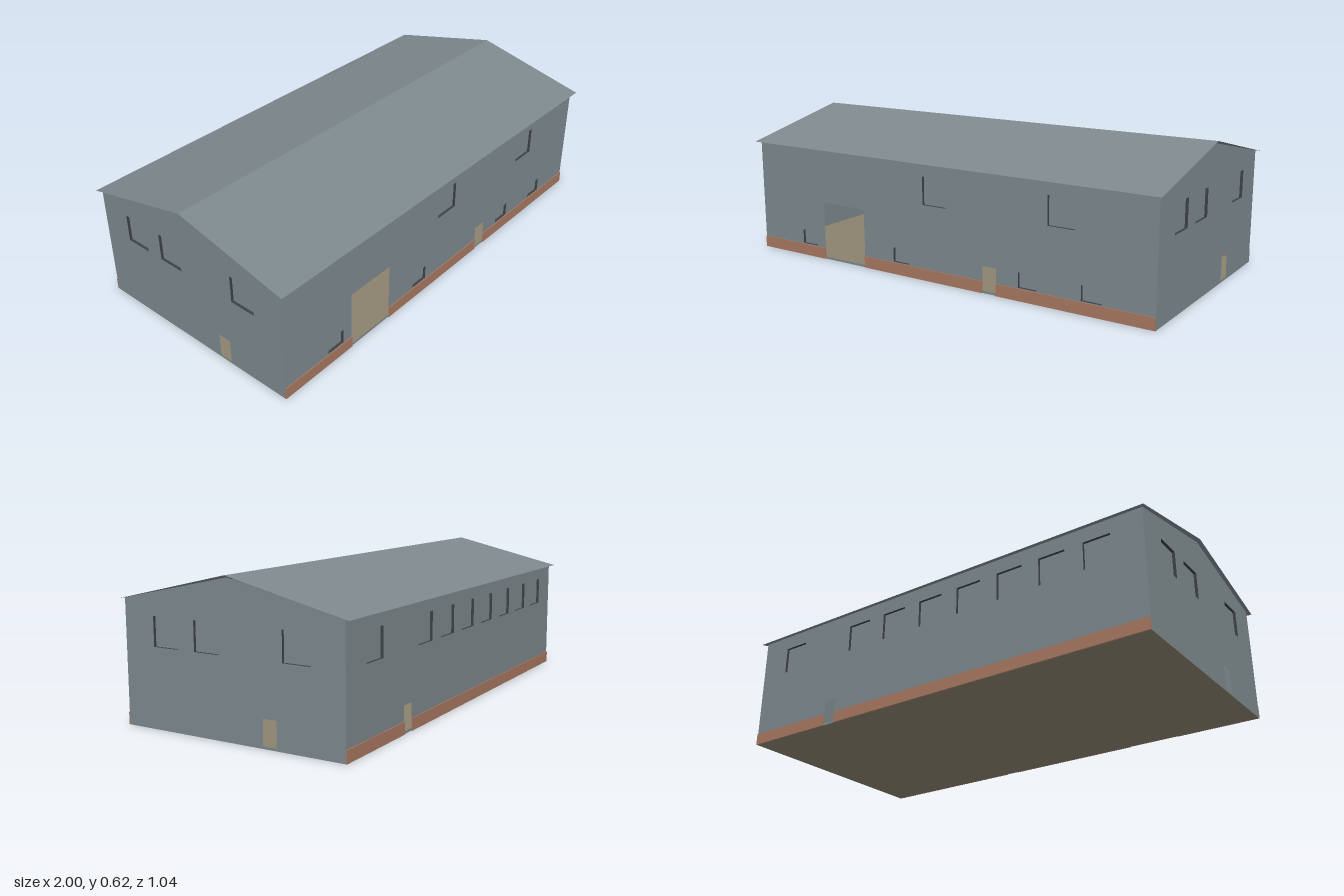
import * as THREE from 'three';

const mat = (name, color, side = THREE.FrontSide) => {
  const m = new THREE.MeshStandardMaterial({ color, side });
  m.name = name;
  return m;
};

export function createModel() {
  const slate = mat('slate', 0x7d888d, THREE.DoubleSide);
  const brown = mat('brown', 0xa87861);
  const concrete = mat('concrete', 0x8a826e);
  const dark = mat('dark reveal', 0x3d4244);
  const model = new THREE.Group();
  model.name = 'hall';
  const X = 0.985, Z = 0.495, EAVE = 0.502, RIDGE = 0.608;

  const add = (parent, name, geo, material, x = 0, y = 0, z = 0) => {
    const m = new THREE.Mesh(geo, material);
    m.name = name;
    m.position.set(x, y, z);
    parent.add(m);
    return m;
  };
  const rect = (C, [x0, x1, y0, y1], g = 0) => new C([
    [x0 - g, y0 - g], [x1 + g, y0 - g], [x1 + g, y1 + g], [x0 - g, y1 + g],
  ].map(p => new THREE.Vector2(...p)));

  // One wall facing local +z, with open doors, recessed windows and an optional plinth
  function wall(name, half, gable, dist, turn, doors, windows, plinth) {
    const g = new THREE.Group();
    g.name = name;
    g.rotation.y = turn;
    model.add(g);
    const pts = [[-half, 0], [half, 0], [half, EAVE]];
    if (gable) pts.push([0, RIDGE]);
    pts.push([-half, EAVE]);
    const shape = new THREE.Shape(pts.map(p => new THREE.Vector2(...p)));
    for (const o of [...doors, ...windows]) shape.holes.push(rect(THREE.Path, o));
    add(g, 'wallPanel', new THREE.ShapeGeometry(shape), slate, 0, 0, dist);

    for (const w of windows) {
      const ring = rect(THREE.Shape, w, 0.004);
      ring.holes.push(rect(THREE.Path, w));
      add(g, 'windowReveal', new THREE.ExtrudeGeometry(ring, { depth: 0.012, bevelEnabled: false }),
        dark, 0, 0, dist - 0.013);
      add(g, 'windowPane', new THREE.ShapeGeometry(rect(THREE.Shape, w, 0.003)), slate, 0, 0, dist - 0.012);
    }

    // Plinth runs between the door openings
    if (plinth) {
      const stops = [-half, ...doors.flatMap(d => [d[0], d[1]]).sort((a, b) => a - b), half];
      for (let i = 0; i < stops.length; i += 2) {
        const w = stops[i + 1] - stops[i];
        add(g, 'plinth', new THREE.BoxGeometry(w, 0.05, 0.004), brown, stops[i] + w / 2, 0.025, dist + 0.002);
      }
    }
  }

  const high = u => [u, u + 0.118, 0.322, 0.441];
  const low = u => [u, u + 0.086, 0.053, 0.116];

  wall('frontWall', X, false, Z, 0,
    [[-0.61, -0.38, 0.01, 0.258], [0.235, 0.3, 0.01, 0.112]],
    [...[-0.06, 0.532].map(high), ...[-0.745, -0.22, 0.402, 0.68].map(low)], true);
  wall('backWall', X, false, Z, Math.PI,
    [[-0.57, -0.51, 0.01, 0.112]],
    [-0.847, -0.454, -0.258, -0.061, 0.136, 0.336, 0.532, 0.73].map(high), true);
  for (const s of [1, -1]) {
    wall(s > 0 ? 'leftEndWall' : 'rightEndWall', Z, true, X, s * Math.PI / 2,
      [[0.148, 0.207, 0.01, 0.112]], [-0.355, -0.16, 0.236].map(high), false);
  }

  // Floor slab
  add(model, 'floor', new THREE.BoxGeometry(2 * X - 0.002, 0.008, 2 * Z - 0.002), concrete, 0, 0.004, 0);

  // Thin pitched roof with overhanging eaves
  const zEave = 0.518, yEave = 0.497, yTop = 0.617;
  const slope = Math.atan2(yTop - yEave, zEave);
  for (const s of [1, -1]) {
    const sheet = new THREE.PlaneGeometry(2, Math.hypot(zEave, yTop - yEave));
    sheet.rotateX(-Math.PI / 2 + s * slope);
    add(model, s > 0 ? 'frontRoof' : 'backRoof', sheet, slate, 0, (yTop + yEave) / 2, s * zEave / 2);
  }

  // Inner deck and its support behind the large doorway
  add(model, 'innerDeck', new THREE.BoxGeometry(0.5, 0.04, 0.3), brown, -0.6, 0.24, -0.33);
  add(model, 'deckSupport', new THREE.BoxGeometry(0.01, 0.21, 0.3), slate, -0.44, 0.114, -0.33);

  return model;
}
